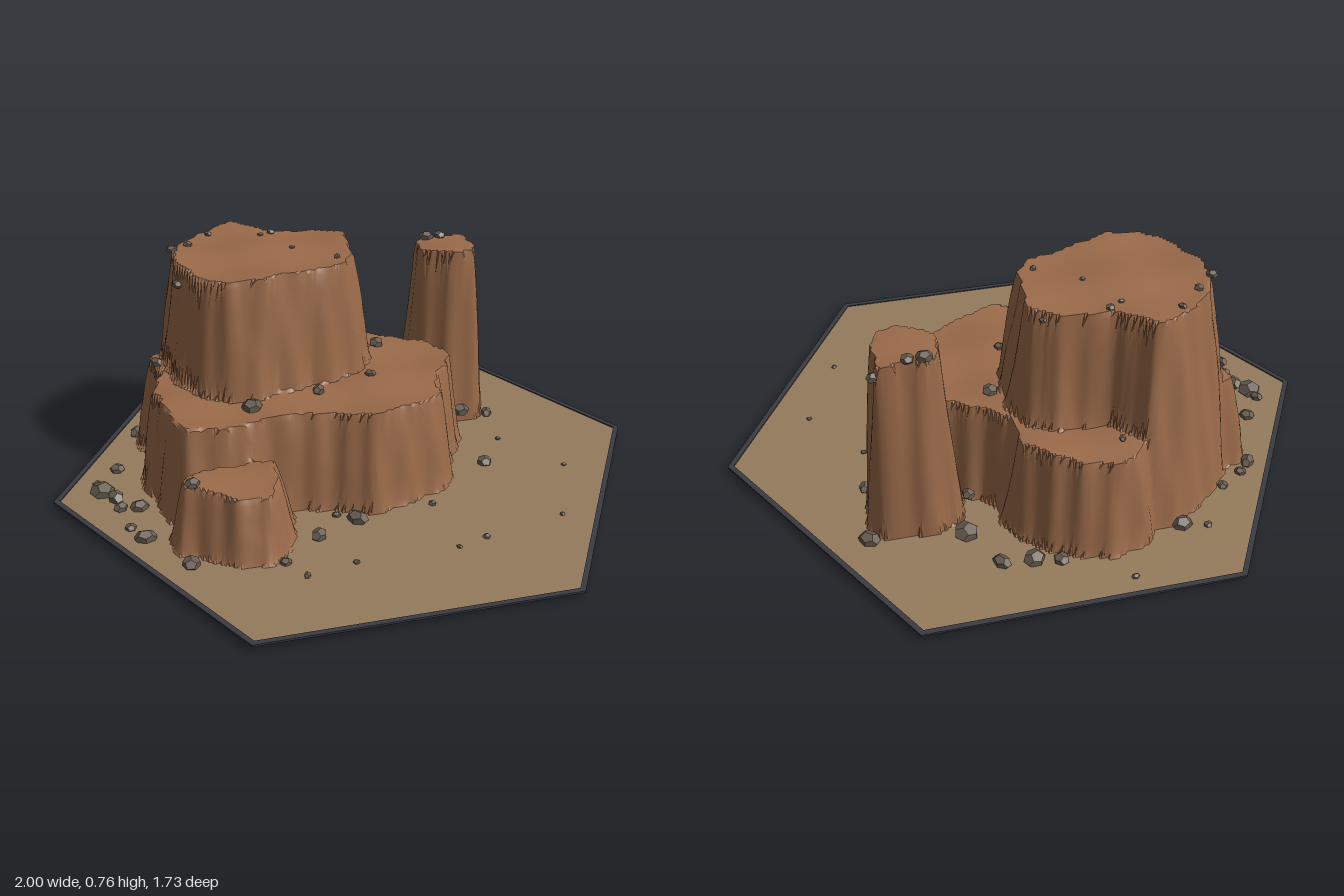
import * as THREE from 'three';
import { toCreasedNormals } from 'three/addons/utils/BufferGeometryUtils.js';

const GROUND = 0.02;
const HEX_Z = Math.sqrt(3) / 2;

// Closed smooth outline from a few [x, z] points
function outline(points) {
  const curve = new THREE.CatmullRomCurve3(
    points.map(([x, z]) => new THREE.Vector3(x, 0, z)), true, 'centripetal');
  return curve.getPoints(points.length * 4).slice(0, -1);
}

// Each mesa: footprint, height at the footprint, top height, wall width
const mesas = [
  { // wide lower terrace
    foot: GROUND, top: 0.35, wall: 0.055,
    edge: outline([[-0.15, -0.69], [-0.02, -0.66], [0.11, -0.57], [0.17, -0.48], [0.17, -0.39],
      [0.27, -0.31], [0.38, -0.23], [0.43, -0.13], [0.4, -0.02], [0.34, 0.07], [0.3, 0.2],
      [0.14, 0.28], [0, 0.315], [-0.1, 0.27], [-0.26, 0.24], [-0.45, 0.27], [-0.62, 0.24],
      [-0.67, 0.09], [-0.7, -0.07], [-0.66, -0.21], [-0.69, -0.34], [-0.56, -0.42],
      [-0.42, -0.53], [-0.32, -0.58], [-0.25, -0.66]]),
  },
  { // upper butte, its wall runs on down to the ground at the back
    foot: 0.35, top: 0.74, wall: 0.055,
    edge: outline([[0.11, -0.34], [0.11, -0.24], [0.1, -0.13], [0.03, -0.03], [-0.13, 0.02],
      [-0.34, 0.07], [-0.48, 0.02], [-0.56, -0.12], [-0.59, -0.26], [-0.56, -0.38],
      [-0.47, -0.47], [-0.38, -0.54], [-0.26, -0.56], [-0.17, -0.47], [0.03, -0.43]]),
  },
  { // tall pillar
    foot: GROUND, top: 0.66, wall: 0.05,
    edge: outline([[0.28, -0.39], [0.35, -0.46], [0.46, -0.46], [0.56, -0.45], [0.575, -0.32],
      [0.54, -0.21], [0.43, -0.18], [0.3, -0.25]]),
  },
  { // low outcrop
    foot: GROUND, top: 0.23, wall: 0.055,
    edge: outline([[-0.63, 0.24], [-0.65, 0.37], [-0.56, 0.43], [-0.48, 0.49], [-0.35, 0.5],
      [-0.28, 0.41], [-0.26, 0.31], [-0.27, 0.21]]),
  },
];

// Distance to an outline, positive inside
function insideDistance(edge, x, z) {
  let best = Infinity, inside = false;
  for (let i = 0, j = edge.length - 1; i < edge.length; j = i++) {
    const a = edge[j], b = edge[i], dx = b.x - a.x, dz = b.z - a.z;
    const t = THREE.MathUtils.clamp(((x - a.x) * dx + (z - a.z) * dz) / (dx * dx + dz * dz), 0, 1);
    best = Math.min(best, Math.hypot(x - a.x - t * dx, z - a.z - t * dz));
    if ((a.z > z) !== (b.z > z) && x < a.x + dx * (z - a.z) / dz) inside = !inside;
  }
  return inside ? best : -best;
}

// Height of the land, the highest mesa wins
function landHeight(x, z) {
  const furrow = 0.004 * (Math.sin(x * 61 + z * 23) + Math.sin(z * 67 - x * 29));
  const bump = 0.004 * (Math.sin(x * 19) + Math.sin(z * 23 + 1));
  let height = GROUND;
  for (const { edge, foot, top, wall } of mesas) {
    const d = insideDistance(edge, x, z) + furrow;
    height = Math.max(height, Math.min(top + bump, foot + (top - foot) * d / wall));
  }
  return height;
}

// Grid fitted to the hexagon, split into flat ground and rock
function buildLand() {
  const cols = 170, rows = 150, positions = [], ground = [], rock = [];
  for (let r = 0; r <= rows; r++) {
    const z = HEX_Z * (2 * r / rows - 1);
    const half = 1 - Math.abs(z) / Math.sqrt(3);
    for (let c = 0; c <= cols; c++) {
      const x = half * (2 * c / cols - 1);
      positions.push(x, landHeight(x, z), z);
    }
  }
  const y = (i) => positions[i * 3 + 1];
  for (let r = 0; r < rows; r++) {
    for (let c = 0; c < cols; c++) {
      const a = r * (cols + 1) + c, b = a + 1, d = a + cols + 1, e = d + 1;
      for (const tri of [[a, d, b], [b, d, e]]) {
        (Math.max(...tri.map(y)) > GROUND + 0.004 ? rock : ground).push(...tri);
      }
    }
  }
  return [ground, rock].map((index) => {
    const g = new THREE.BufferGeometry();
    g.setAttribute('position', new THREE.Float32BufferAttribute(positions, 3));
    g.setIndex(index);
    return toCreasedNormals(g, 0.65);
  });
}

function hexPoints(radius) {
  return Array.from({ length: 6 }, (_, i) =>
    new THREE.Vector2(radius * Math.cos(i * Math.PI / 3), radius * Math.sin(i * Math.PI / 3)));
}

// Loose stones: x, z, radius
const groundStones = [
  [-0.38, -0.61, 0.035], [-0.46, -0.63, 0.015], [-0.17, -0.79, 0.014], [0.03, -0.67, 0.027],
  [0.11, -0.65, 0.037], [0.21, -0.64, 0.033], [0.29, -0.49, 0.042], [0.59, -0.45, 0.037],
  [0.25, -0.33, 0.027], [0.46, -0.19, 0.033], [0.57, -0.21, 0.027], [0.55, -0.03, 0.01],
  [0.45, 0.11, 0.028], [0.71, 0.19, 0.01], [0.59, 0.47, 0.01], [0.31, 0.53, 0.014],
  [0.21, 0.56, 0.011], [0.2, 0.31, 0.014], [-0.06, 0.34, 0.038], [-0.2, 0.4, 0.032],
  [-0.12, 0.56, 0.011], [-0.28, 0.59, 0.015], [-0.33, 0.51, 0.02], [-0.61, 0.45, 0.032],
  [-0.73, 0.28, 0.037], [-0.77, 0.21, 0.02], [-0.73, 0.1, 0.032], [-0.8, 0.03, 0.035],
  [-0.84, -0.02, 0.042], [-0.85, -0.06, 0.025], [-0.79, 0.09, 0.026], [-0.78, -0.15, 0.026],
  [-0.69, -0.38, 0.032], [-0.65, -0.42, 0.02], [-0.57, -0.47, 0.02], [-0.12, 0.3, 0.016],
];
const ledgeStones = [
  [0.38, -0.4, 0.027], [0.43, -0.4, 0.022], [0.53, -0.4, 0.025], [0.32, -0.23, 0.02],
  [-0.58, 0.34, 0.026], [-0.61, -0.25, 0.026], [0.15, -0.22, 0.027], [0.07, 0, 0.02],
  [-0.12, 0.06, 0.026], [-0.35, 0.11, 0.034], [-0.19, -0.54, 0.015], [-0.53, -0.3, 0.02],
  [-0.53, -0.17, 0.02], [-0.22, -0.37, 0.011], [-0.18, -0.39, 0.015], [-0.14, -0.23, 0.01],
  [-0.39, -0.43, 0.015], [-0.47, -0.35, 0.016], [0.02, -0.37, 0.013], [-0.01, -0.13, 0.013],
];

export function createModel() {
  const model = new THREE.Group();
  const sand = new THREE.MeshStandardMaterial({ color: 0x957b5c, side: THREE.DoubleSide });
  sand.name = 'sand';
  const redRock = new THREE.MeshStandardMaterial({ color: 0x9a6a49, side: THREE.DoubleSide });
  redRock.name = 'redRock';
  const stone = new THREE.MeshStandardMaterial({ color: 0x675c50, flatShading: true });
  stone.name = 'stone';
  const darkTrim = new THREE.MeshStandardMaterial({ color: 0x3a3a42 });
  darkTrim.name = 'darkTrim';

  const add = (name, geometry, material, parent = model) => {
    const mesh = new THREE.Mesh(geometry, material);
    mesh.name = name;
    parent.add(mesh);
    return mesh;
  };

  // Hexagonal ground and the mesas rising from it
  const [ground, rock] = buildLand();
  add('ground', ground, sand);
  add('mesas', rock, redRock);

  // Thin dark border around the hexagon
  const border = new THREE.Shape(hexPoints(1));
  border.holes.push(new THREE.Path(hexPoints(0.98).reverse()));
  const rim = add('border',
    new THREE.ExtrudeGeometry(border, { depth: 0.007, bevelEnabled: false }), darkTrim);
  rim.rotation.x = -Math.PI / 2;
  rim.position.y = 0.017;

  // Scattered stones, half sunk into the land
  const stoneShape = new THREE.DodecahedronGeometry(1);
  const scatter = (name, list) => {
    const group = new THREE.Group();
    group.name = name;
    list.forEach(([x, z, r], i) => {
      const mesh = add('stone', stoneShape, stone, group);
      mesh.position.set(x, landHeight(x, z) + r * 0.22, z);
      mesh.scale.set(r, r * 0.7, r * (0.85 + 0.15 * Math.sin(i * 2.3)));
      mesh.rotation.y = i * 1.7;
    });
    model.add(group);
  };
  scatter('groundStones', groundStones);
  scatter('ledgeStones', ledgeStones);

  return model;
}
